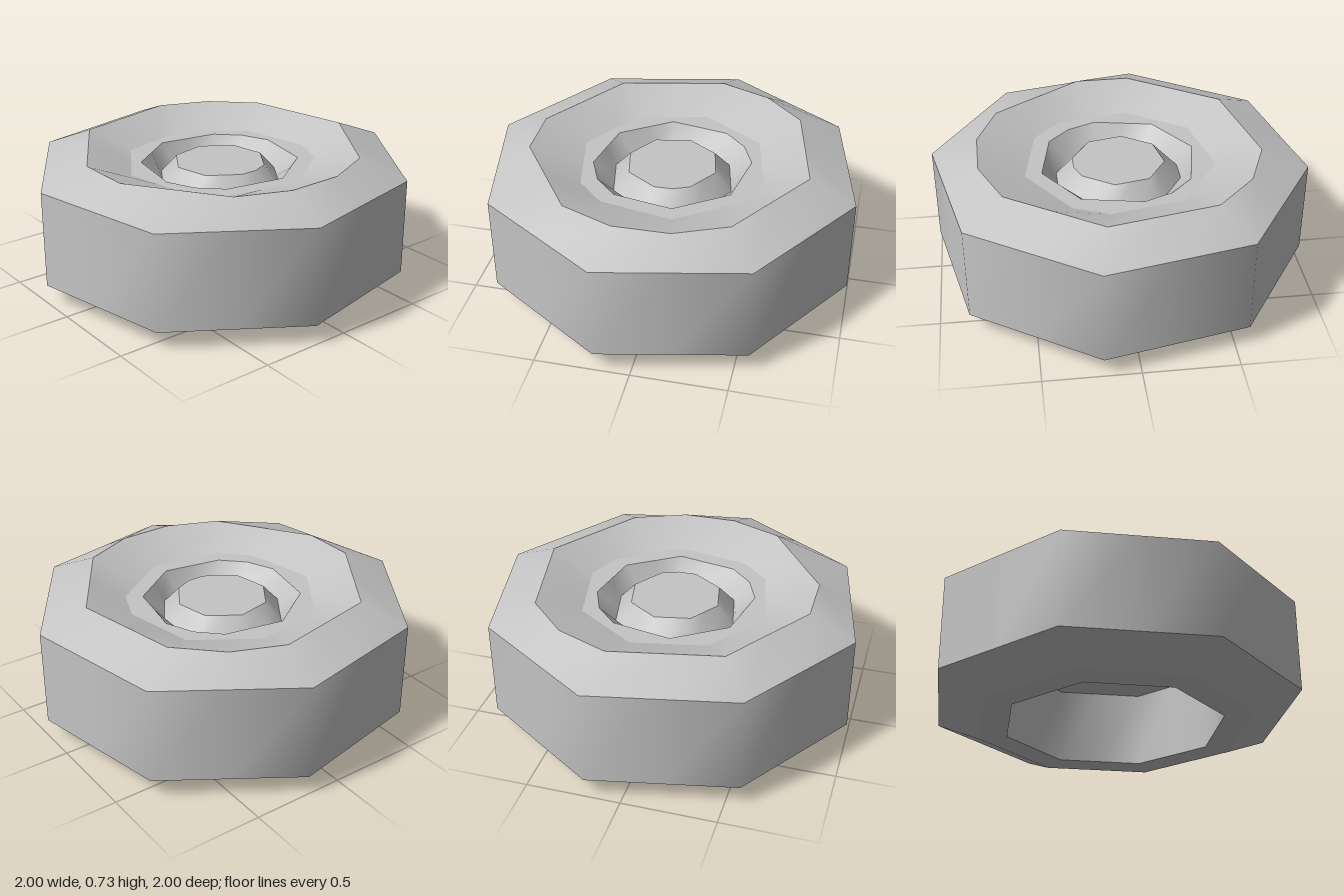
import * as THREE from 'three';

const SLOTS = 16;
const START = 10.7 * Math.PI / 180;
const EVEN = [0, 2, 4, 6, 8, 10, 12, 14];
const ODD = EVEN.map((k) => k + 1);

// A ring of 16 points; slots without a corner of their own lie midway on the chord.
function ring(radius, y, corners = EVEN) {
  const corner = (k) => {
    const a = START + (k * Math.PI * 2) / SLOTS;
    return new THREE.Vector3(radius * Math.cos(a), y, radius * Math.sin(a));
  };
  return Array.from({ length: SLOTS }, (_, k) =>
    corners.includes(k) ? corner(k) : corner(k - 1).add(corner(k + 1)).multiplyScalar(0.5));
}

// A smooth band between two rings, facing outward from the direction of travel.
function band(from, to) {
  const index = [];
  for (let k = 0; k < SLOTS; k++) {
    const a = k, b = (k + 1) % SLOTS, c = a + SLOTS, d = b + SLOTS;
    index.push(a, c, b, b, c, d);
  }
  const geometry = new THREE.BufferGeometry().setFromPoints([...from, ...to]);
  geometry.setIndex(index);
  geometry.computeVertexNormals();
  return geometry;
}

export function createModel() {
  const group = new THREE.Group();
  group.name = 'wheel';
  const grey = new THREE.MeshStandardMaterial({ color: 0xc4c4c4 });
  grey.name = 'grey';

  // Rings from the recessed underside, round the outside, to the hub cap
  const ceilingCentre = ring(0, 0.43);
  const ceilingEdge = ring(0.605, 0.43);
  const holeEdge = ring(0.605, 0);
  const baseEdge = ring(0.765, 0);
  const treadBottom = ring(1.018, 0.105);
  const treadTop = ring(1.018, 0.625);
  const rim = ring(0.765, 0.725, [0, 2, 3, 4, 5, 7, 8, 10, 12, 13, 14]);
  const floorEdge = ring(0.52, 0.63, [0, 1, 3, 5, 6, 8, 10, 12, 14]);
  const hubEdge = ring(0.427, 0.63, [...ODD, 6, 14]);
  const groove = ring(0.34, 0.53, [...EVEN, 3, 11]);
  const capEdge = ring(0.25, 0.63, [...EVEN, 3]);
  const capCentre = ring(0, 0.63);

  const parts = [
    ['undersideRecess', ceilingCentre, ceilingEdge],
    ['recessWall', ceilingEdge, holeEdge],
    ['base', holeEdge, baseEdge],
    ['lowerBevel', baseEdge, treadBottom],
    ['tread', treadBottom, treadTop],
    ['upperBevel', treadTop, rim],
    ['dishWall', rim, floorEdge],
    ['dishFloor', floorEdge, hubEdge],
    ['grooveOuterWall', hubEdge, groove],
    ['grooveInnerWall', groove, capEdge],
    ['hubCap', capEdge, capCentre],
  ];
  for (const [name, from, to] of parts) {
    const mesh = new THREE.Mesh(band(from, to), grey);
    mesh.name = name;
    group.add(mesh);
  }
  return group;
}
